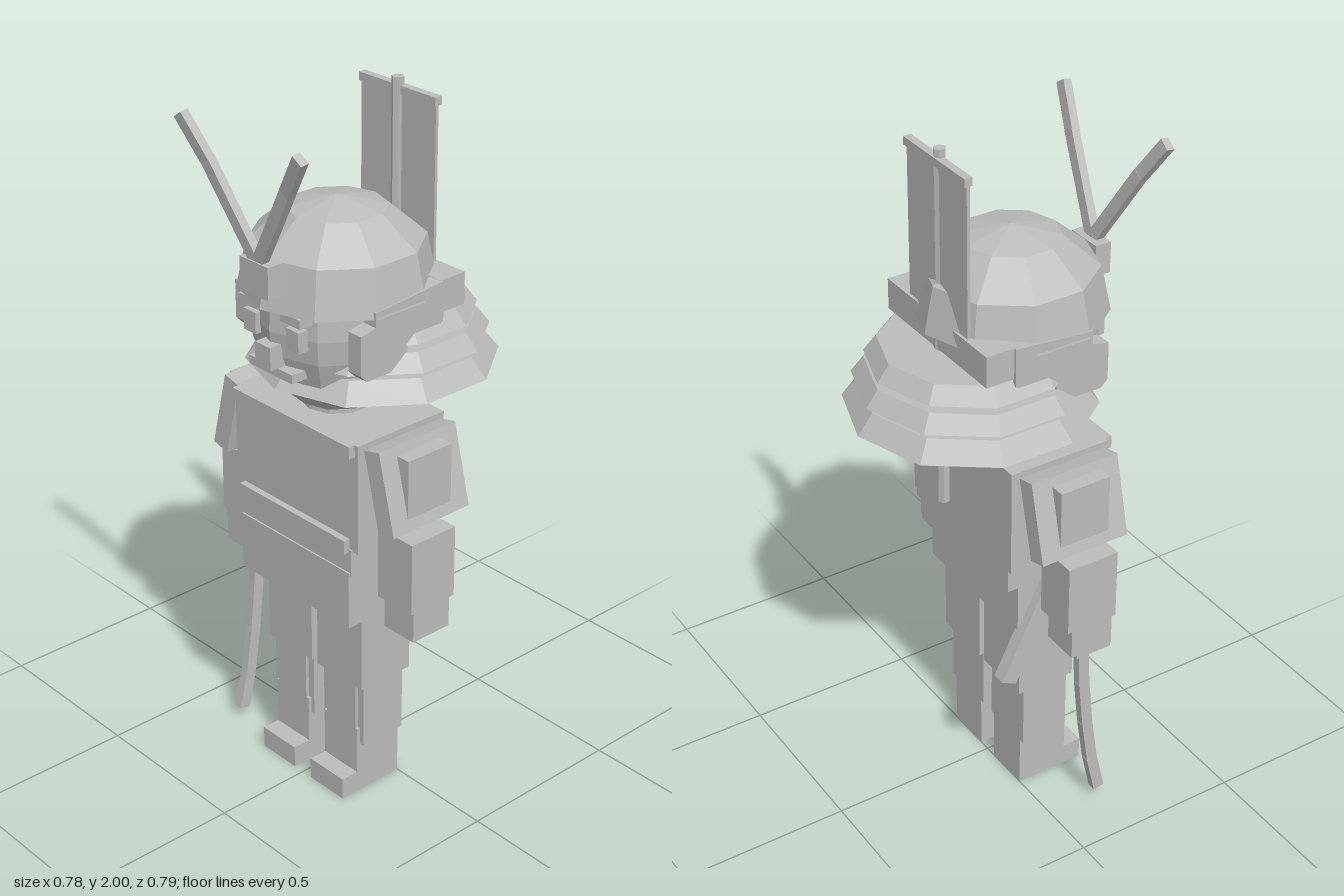
import * as THREE from 'three';

export function createModel() {
  const model = new THREE.Group();
  model.name = 'armouredWarrior';
  const grey = new THREE.MeshStandardMaterial({ color: 0xbcbcbc, flatShading: true });
  grey.name = 'plainGrey';

  const add = (name, geometry) => {
    const mesh = new THREE.Mesh(geometry, grey);
    mesh.name = name;
    model.add(mesh);
    return mesh;
  };
  // box given by its lower and upper limits on each axis
  const box = (name, x0, x1, y0, y1, z0, z1) => {
    const mesh = add(name, new THREE.BoxGeometry(x1 - x0, y1 - y0, z1 - z0));
    mesh.position.set((x0 + x1) / 2, (y0 + y1) / 2, (z0 + z1) / 2);
    return mesh;
  };
  // mirrored pair of boxes
  const pair = (name, x0, x1, ...rest) => [
    box(name + 'Left', x0, x1, ...rest),
    box(name + 'Right', -x1, -x0, ...rest),
  ];
  // square bar between two points
  const bar = (name, a, b, width, depth) => {
    const from = new THREE.Vector3(...a), to = new THREE.Vector3(...b);
    const mesh = add(name, new THREE.BoxGeometry(width, from.distanceTo(to), depth));
    mesh.position.copy(from).lerp(to, 0.5);
    mesh.quaternion.setFromUnitVectors(new THREE.Vector3(0, 1, 0), to.sub(from).normalize());
    return mesh;
  };
  // ten-sided turned form, profile listed from bottom to top
  const turned = (name, z, profile) => {
    const points = profile.map(([r, y]) => new THREE.Vector2(r, y));
    add(name, new THREE.LatheGeometry(points, 10)).position.z = z;
  };

  // Legs and feet
  pair('foot', 0.035, 0.172, 0, 0.065, 0, 0.21);
  pair('boot', 0.035, 0.172, 0, 0.21, 0, 0.155);
  pair('shin', 0.022, 0.188, 0.16, 0.36, 0, 0.145);
  pair('shinGuard', 0.045, 0.165, 0.19, 0.36, 0.02, 0.155);
  pair('thigh', 0.012, 0.195, 0.355, 0.62, -0.02, 0.16);

  // Body
  box('skirt', -0.222, 0.222, 0.6, 0.77, -0.045, 0.23);
  box('belt', -0.225, 0.225, 0.76, 0.84, -0.08, 0.225);
  box('torso', -0.247, 0.247, 0.835, 1.155, -0.085, 0.22);
  box('chestRim', -0.235, 0.235, 1.12, 1.155, 0.2, 0.24);
  box('waistBand', -0.215, 0.215, 0.83, 0.87, 0.2, 0.24);

  // Arms
  for (const side of [1, -1]) {
    const label = side > 0 ? 'Left' : 'Right';
    const plate = add('shoulderPlate' + label, new THREE.BoxGeometry(0.058, 0.235, 0.27));
    plate.position.set(0.311 * side, 1.035, 0.07);
    plate.rotation.z = 0.25 * side;
  }
  pair('upperArm', 0.3, 0.36, 0.955, 1.13, -0.005, 0.148);
  pair('forearm', 0.26, 0.39, 0.69, 0.9, 0.005, 0.16);
  pair('hand', 0.275, 0.388, 0.6, 0.7, 0.02, 0.15);

  // Curved sword held in the right hand
  box('swordGuard', -0.385, -0.28, 0.585, 0.605, 0.04, 0.15);
  const blade = [[0.59, 0.09], [0.45, 0.095], [0.3, 0.11], [0.16, 0.13], [0.035, 0.158]];
  for (let i = 0; i < blade.length - 1; i++) {
    const [y0, z0] = blade[i], [y1, z1] = blade[i + 1];
    bar('swordBlade', [-0.334, y0, z0], [-0.334, y1, z1], 0.026, 0.034);
  }

  // Scabbard at the right hip
  bar('scabbard', [-0.23, 0.465, -0.09], [-0.23, 0.85, 0.1], 0.04, 0.05);

  // Neck and head
  turned('neck', 0.07, [[0, 1.1], [0.1, 1.1], [0.1, 1.22], [0, 1.22]]);
  turned('head', 0.07, [[0, 1.155], [0.115, 1.175], [0.185, 1.24], [0.222, 1.35],
    [0.232, 1.42], [0.228, 1.5], [0, 1.5]]);
  pair('eye', 0.06, 0.108, 1.39, 1.45, 0.24, 0.297);
  pair('brow', 0.045, 0.12, 1.465, 1.49, 0.24, 0.302);
  box('nose', -0.03, 0.03, 1.325, 1.39, 0.25, 0.325);
  box('mouth', -0.085, 0.085, 1.3, 1.325, 0.22, 0.3);

  // Helmet dome and three neck guard tiers
  turned('helmet', 0.07, [[0, 1.49], [0.262, 1.49], [0.235, 1.62], [0.135, 1.705], [0, 1.735]]);
  const tiers = [[0.342, 0.298, 1.25, 1.305], [0.315, 0.28, 1.325, 1.37], [0.28, 0.245, 1.39, 1.435]];
  for (const [low, high, y0, y1] of tiers) {
    turned('neckGuardTier', -0.055, [[0, y0], [low, y0], [high, y1], [0, y1]]);
  }

  // Helmet cheek flaps and back band
  const flap = new THREE.Shape([[-0.21, 1.35], [-0.21, 1.46], [-0.16, 1.47], [-0.16, 1.51], [0.075, 1.53],
    [0.075, 1.42], [0.03, 1.39], [-0.05, 1.39], [-0.05, 1.33], [-0.19, 1.33]]
    .map(([x, y]) => new THREE.Vector2(x, y)));
  for (const x of [0.2, -0.248]) {
    const mesh = add('cheekFlap', new THREE.ExtrudeGeometry(flap, { depth: 0.048, bevelEnabled: false }));
    mesh.rotation.y = Math.PI / 2;
    mesh.position.x = x;
  }
  box('helmetBackBand', -0.24, 0.24, 1.44, 1.53, -0.158, -0.07);

  // Crest with two bent horns
  box('crestMount', -0.055, 0.055, 1.535, 1.625, 0.3, 0.348);
  for (const s of [1, -1]) {
    bar('hornLower', [0, 1.615, 0.33], [0.155 * s, 1.86, 0.362], 0.036, 0.024);
    bar('hornUpper', [0.152 * s, 1.855, 0.362], [0.228 * s, 1.965, 0.384], 0.036, 0.024);
  }

  // Back banner
  const pole = add('bannerPole', new THREE.CylinderGeometry(0.017, 0.017, 1.045, 6));
  pole.position.set(0, 1.4775, -0.14);
  box('bannerCrossbar', -0.143, 0.143, 1.955, 1.978, -0.158, -0.135);
  box('bannerCloth', -0.14, 0.14, 1.47, 1.965, -0.15, -0.141);

  return model;
}
